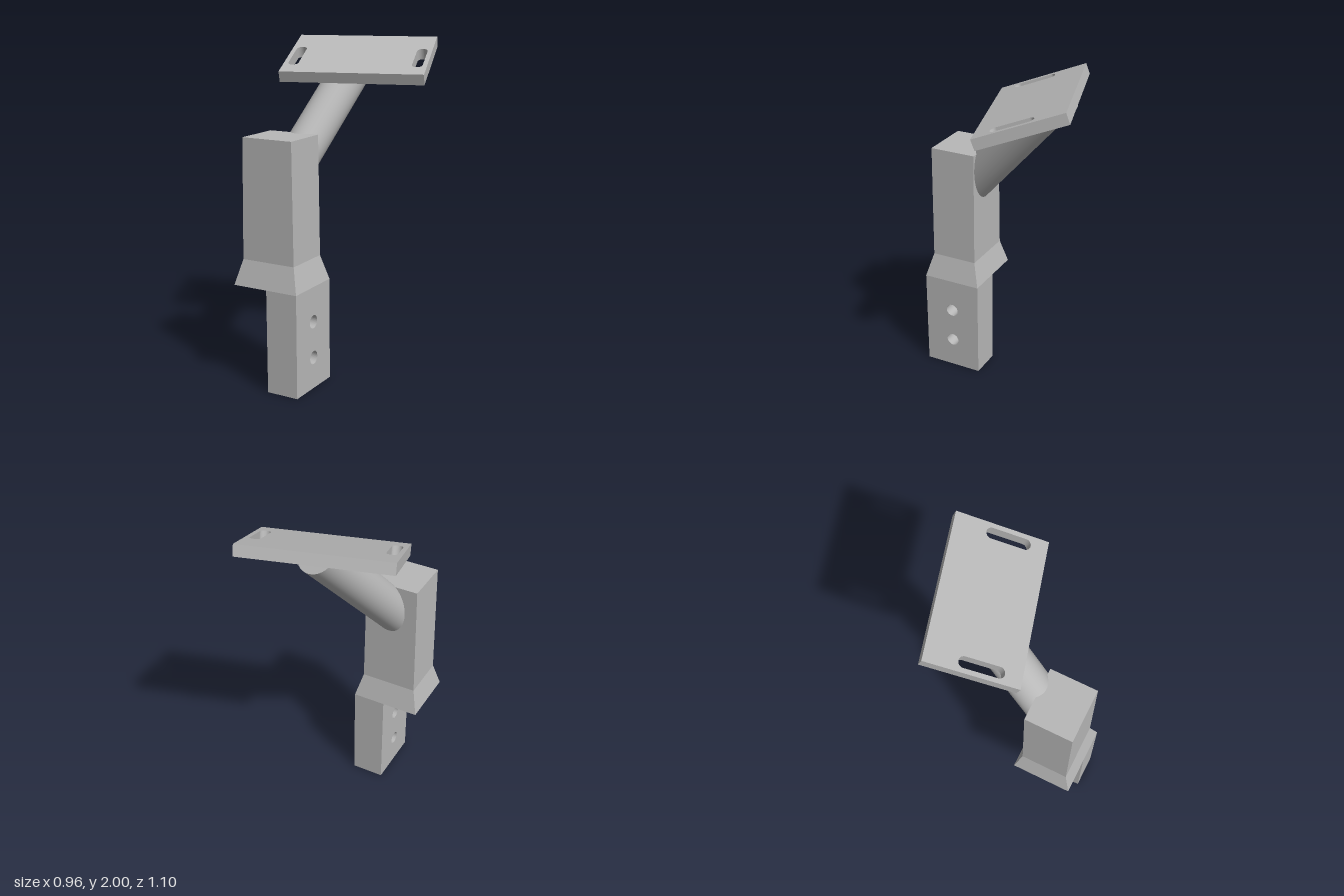
import * as THREE from 'three';

const steel = new THREE.MeshStandardMaterial({ color: 0xb8b8b8 });
steel.name = 'grey steel';

function addMesh(parent, name, geometry) {
  const mesh = new THREE.Mesh(geometry, steel);
  mesh.name = name;
  parent.add(mesh);
  return mesh;
}

function rectangle(x0, y0, x1, y1) {
  return new THREE.Shape([[x0, y0], [x1, y0], [x1, y1], [x0, y1]].map((p) => new THREE.Vector2(...p)));
}

// Lofts rectangular sections [y, x0, x1, z0, z1], bottom to top, with closed ends and hard edges
function loftSections(sections) {
  const points = [];
  const index = [];
  for (const [y, x0, x1, z0, z1] of sections) points.push(x0, y, z1, x1, y, z1, x1, y, z0, x0, y, z0);
  const quad = (a, b, c, d) => index.push(a, b, c, a, c, d);
  for (let s = 0; s < sections.length - 1; s++) {
    for (let i = 0; i < 4; i++) {
      const j = (i + 1) % 4;
      quad(s * 4 + i, s * 4 + j, s * 4 + 4 + j, s * 4 + 4 + i);
    }
  }
  const top = (sections.length - 1) * 4;
  quad(3, 2, 1, 0);
  quad(top, top + 1, top + 2, top + 3);
  const indexed = new THREE.BufferGeometry();
  indexed.setAttribute('position', new THREE.Float32BufferAttribute(points, 3));
  indexed.setIndex(index);
  const geometry = indexed.toNonIndexed();
  geometry.computeVertexNormals();
  return geometry;
}

// Mounting tab with two bolt holes running sideways
function tabGeometry() {
  const shape = rectangle(-0.55, 0, -0.18, 0.62);
  for (const y of [0.19, 0.41]) {
    shape.holes.push(new THREE.Path().absarc(-0.365, y, 0.04, 0, Math.PI * 2, true));
  }
  return new THREE.ExtrudeGeometry(shape, { depth: 0.2, bevelEnabled: false, curveSegments: 32 })
    .rotateY(Math.PI / 2).translate(-0.2, 0, 0);
}

// Flat plate with a rounded slot near each end; its top face lies at y = 0
function plateGeometry() {
  const thickness = 0.066, r = 0.031, half = 0.094, mid = -0.043;
  const shape = rectangle(-0.424, -0.2635, 0.424, 0.2635);
  for (const x of [-0.3665, 0.3665]) {
    const slot = new THREE.Path();
    slot.absarc(x, mid + half, r, 0, Math.PI, false);
    slot.absarc(x, mid - half, r, Math.PI, Math.PI * 2, false);
    slot.closePath();
    shape.holes.push(slot);
  }
  return new THREE.ExtrudeGeometry(shape, { depth: thickness, bevelEnabled: false, curveSegments: 20 })
    .rotateX(-Math.PI / 2).translate(0, -thickness, 0);
}

// Slanted round arm whose upper end is trimmed along its axis inside the plate
function armGeometry(start, end, radius, planePoint, planeNormal) {
  const axis = end.clone().sub(start);
  const length = axis.length();
  axis.normalize();
  const geometry = new THREE.CylinderGeometry(radius, radius, length, 64);
  geometry.applyQuaternion(new THREE.Quaternion().setFromUnitVectors(new THREE.Vector3(0, 1, 0), axis));
  const centre = start.clone().add(end).multiplyScalar(0.5);
  geometry.translate(centre.x, centre.y, centre.z);
  const position = geometry.attributes.position;
  const p = new THREE.Vector3();
  for (let i = 0; i < position.count; i++) {
    p.fromBufferAttribute(position, i);
    const above = p.clone().sub(planePoint).dot(planeNormal);
    if (above > 0) p.addScaledVector(axis, -above / axis.dot(planeNormal));
    position.setXYZ(i, p.x, p.y, p.z);
  }
  return geometry;
}

export function createModel() {
  const model = new THREE.Group();
  model.name = 'mountingBracket';

  addMesh(model, 'mountingTab', tabGeometry());

  // Upright post, flaring out to a skirt over the tab
  addMesh(model, 'flaredPost', loftSections([
    [0.62, -0.42, 0, 0.18, 0.55],
    [0.77, -0.382, -0.04, 0.22, 0.508],
    [1.48, -0.37, -0.048, 0.22, 0.506],
  ]));

  // Tilted and turned top plate
  const plate = addMesh(model, 'slottedPlate', plateGeometry());
  plate.position.set(0.0025, 1.91, -0.175);
  plate.rotation.set(THREE.MathUtils.degToRad(20), THREE.MathUtils.degToRad(16.1), 0, 'YXZ');

  // Arm joining the post to the plate
  const normal = new THREE.Vector3(0, 1, 0).applyEuler(plate.rotation);
  const trimPoint = plate.position.clone().addScaledVector(normal, -0.01);
  addMesh(model, 'roundArm', armGeometry(
    new THREE.Vector3(-0.209, 1.2, 0.346), new THREE.Vector3(-0.036, 1.95, -0.33), 0.118, trimPoint, normal,
  ));

  return model;
}
